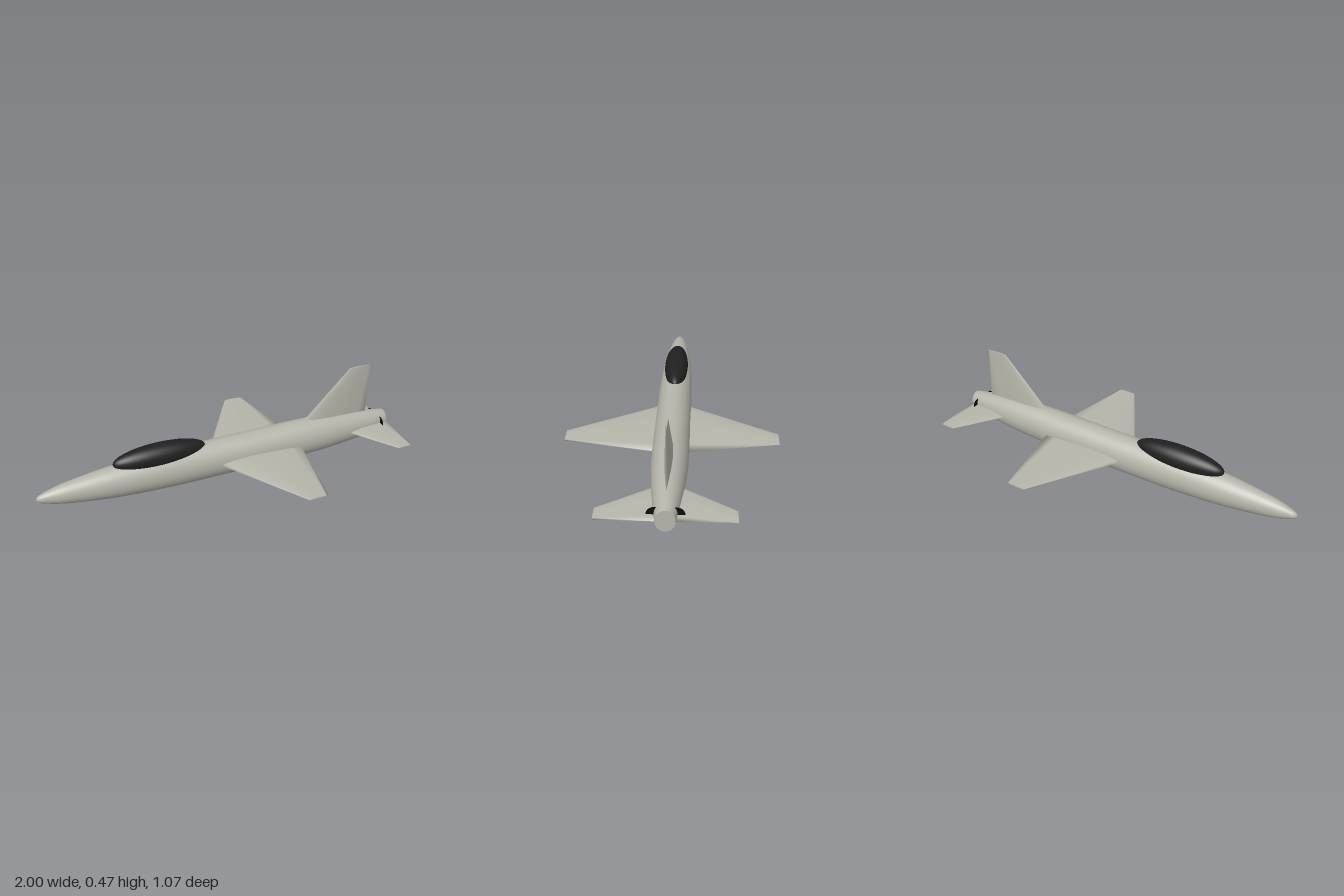
import * as THREE from 'three';

const AXIS_Y = 0.105;

// Half airfoil: [chord fraction, thickness fraction], trailing to leading edge
const FOIL = [[1, 0], [0.87, 0.3], [0.65, 0.72], [0.38, 1], [0.15, 0.82], [0.04, 0.45], [0, 0]];
const SECTION = [...FOIL, ...FOIL.slice(1, -1).reverse().map(([u, t]) => [u, -t])];

// Tapered surface spanning along +z; each station is { span, lead, trail, half }
function foilGeometry(root, tip) {
  const pos = [], index = [], n = SECTION.length;
  for (const s of [root, tip, tip]) {
    for (const [u, t] of SECTION) pos.push(s.lead + (s.trail - s.lead) * u, s.half * t, s.span);
  }
  for (let i = 0; i < n; i++) {
    const j = (i + 1) % n;
    index.push(i, j, n + j, i, n + j, n + i);
  }
  // Flat tip cap with its own vertices
  for (let i = 1; i < n - 1; i++) index.push(2 * n, 2 * n + i, 2 * n + i + 1);
  const g = new THREE.BufferGeometry();
  g.setAttribute('position', new THREE.Float32BufferAttribute(pos, 3));
  g.setIndex(index);
  g.computeVertexNormals();
  return g;
}

export function createModel() {
  const model = new THREE.Group();
  model.name = 'jetAircraft';

  const material = (name, color) => {
    const m = new THREE.MeshStandardMaterial({ color });
    m.name = name;
    return m;
  };
  const grey = material('airframe grey', 0xb5b5aa);
  const glass = material('canopy dark', 0x202020);
  const black = material('exhaust black', 0x0c0c0c);
  black.side = THREE.DoubleSide;

  const add = (name, geometry, mat, x = 0, y = AXIS_Y, z = 0) => {
    const mesh = new THREE.Mesh(geometry, mat);
    mesh.name = name;
    mesh.position.set(x, y, z);
    model.add(mesh);
    return mesh;
  };

  // Fuselage: smooth profile along x, squeezed to an oval section
  const profile = new THREE.SplineCurve([
    [0, -1], [0.14, -0.99], [0.25, -0.965], [0.43, -0.9], [0.6, -0.8], [0.83, -0.6], [0.96, -0.35],
    [1, -0.1], [1, 0.2], [1, 0.45], [0.96, 0.6], [0.85, 0.75], [0.68, 0.89], [0.5, 1],
  ].map(([r, x]) => new THREE.Vector2(r, x))).getPoints(78);
  profile.forEach((p) => { p.x = THREE.MathUtils.clamp(p.x, 0, 1); });
  const body = new THREE.LatheGeometry(profile, 48);
  body.rotateZ(-Math.PI / 2);
  body.scale(1, 0.105, 0.09);
  add('fuselage', body, grey);

  // Flat tail end
  const end = new THREE.CircleGeometry(0.5, 48);
  end.rotateY(Math.PI / 2);
  end.scale(1, 0.105, 0.09);
  add('tailEnd', end, grey, 1);

  // Canopy
  const canopy = new THREE.SphereGeometry(1, 48, 32);
  canopy.scale(0.25, 0.065, 0.064);
  add('canopy', canopy, glass, -0.35, 0.204);

  // Wings, tailplanes and exhaust discs on both sides
  const wing = foilGeometry(
    { span: 0, lead: -0.097, trail: 0.447, half: 0.021 },
    { span: 0.533, lead: 0.24, trail: 0.345, half: 0.004 });
  const tailplane = foilGeometry(
    { span: 0, lead: 0.695, trail: 1, half: 0.014 },
    { span: 0.31, lead: 0.91, trail: 0.996, half: 0.003 });
  const disc = new THREE.CircleGeometry(0.037, 32);
  disc.rotateY(Math.PI / 2);
  for (const [prefix, side] of [['near', 1], ['far', -1]]) {
    const turn = side > 0 ? 0 : Math.PI;
    add(prefix + 'Wing', wing, grey).rotation.x = turn;
    add(prefix + 'Tailplane', tailplane, grey, 0, 0.103).rotation.x = turn;
    add(prefix + 'Exhaust', disc, black, 0.955, 0.108, side * 0.048);
  }

  // Upright fin
  const fin = foilGeometry(
    { span: 0.15, lead: 0.43, trail: 0.88, half: 0.023 },
    { span: 0.473, lead: 0.75, trail: 0.88, half: 0.004 });
  add('fin', fin, grey, 0, 0).rotation.x = -Math.PI / 2;

  return model;
}
